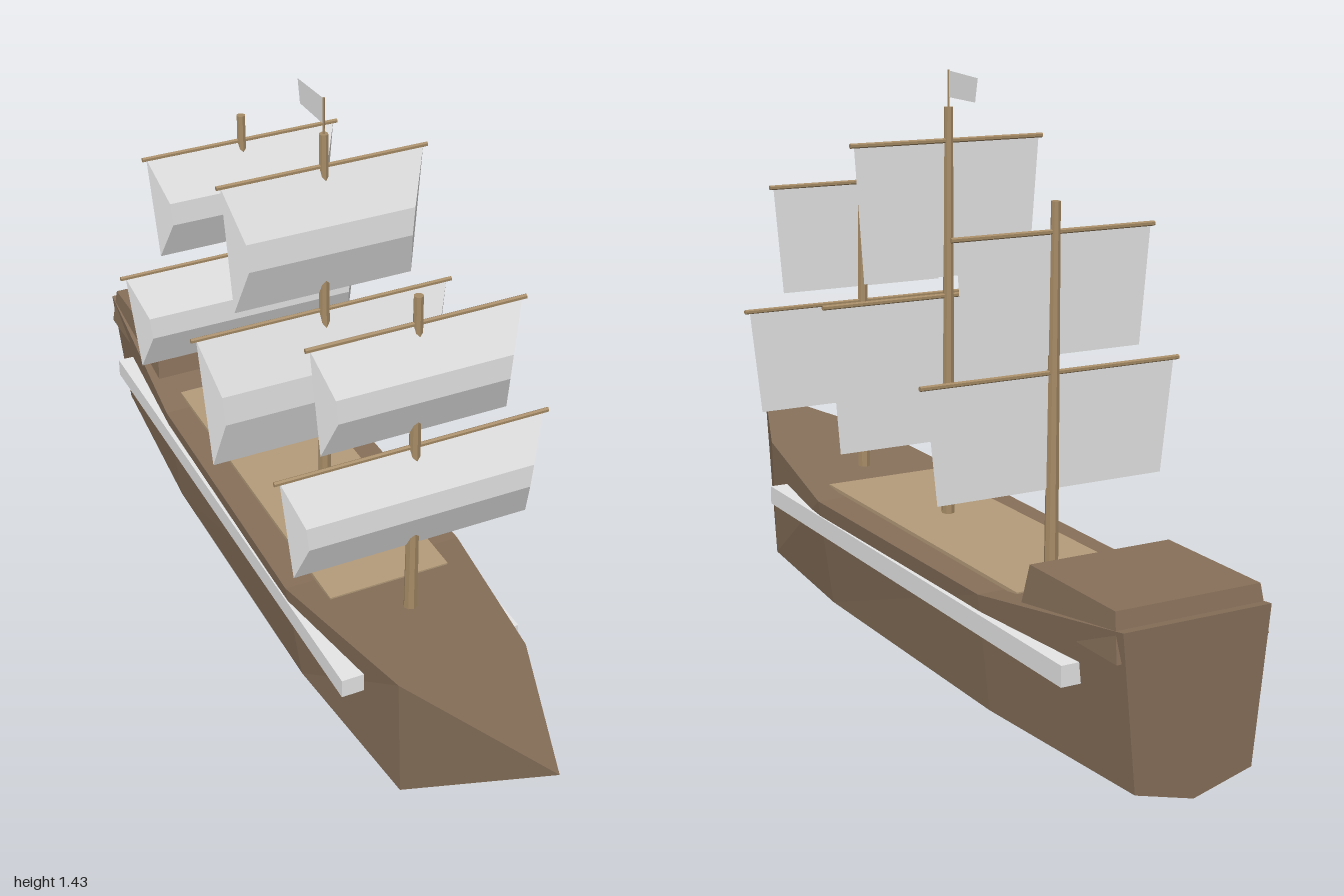
import * as THREE from 'three';

const mat = (name, color, extra = {}) => {
  const m = new THREE.MeshStandardMaterial({ color, flatShading: true, ...extra });
  m.name = name;
  return m;
};

// flat-shaded geometry from polygons, each fanned into triangles
function polys(list) {
  const pos = [];
  for (const p of list) {
    for (let i = 1; i < p.length - 1; i++) pos.push(...p[0], ...p[i], ...p[i + 1]);
  }
  const g = new THREE.BufferGeometry();
  g.setAttribute('position', new THREE.Float32BufferAttribute(pos, 3));
  g.computeVertexNormals();
  return g;
}

// hull lofted through stations: deck, chine, keel, chine, deck; closed to a bow point
function hullGeometry() {
  const stations = [ // along, deck half width, deck height, chine half width
    [-1.02, 0.184, 0.395, 0.147],
    [-0.5, 0.22, 0.32, 0.188],
    [0.31, 0.23, 0.32, 0.19],
    [0.763, 0.16, 0.36, 0.15],
  ];
  const rings = stations.map(([x, w, y, c]) =>
    [[x, y, w], [x, 0.04, c], [x, 0, 0], [x, 0.04, -c], [x, y, -w]]);
  const tip = [1.176, 0.395, 0];
  const faces = [[...rings[0]].reverse()];
  for (let i = 0; i < 5; i++) {
    const j = (i + 1) % 5;
    for (let s = 0; s < 3; s++) {
      const a = rings[s], b = rings[s + 1];
      faces.push([a[j], b[j], b[i], a[i]]);
    }
    faces.push([rings[3][j], tip, rings[3][i]]);
  }
  return polys(faces);
}

// sail: flat back, front bulging forward with inset ends
function sailGeometry(top, bottom, wTop, wBottom, depth) {
  const rows = [[0, 0, 0], [0.4, depth, 0.03], [0.62, depth, 0.03], [1, 0, 0]];
  const side = (s) => rows.map(([t, d, inset]) =>
    [d, THREE.MathUtils.lerp(top, bottom, t), s * (THREE.MathUtils.lerp(wTop, wBottom, t) - inset)]);
  const P = side(1), N = side(-1);
  const faces = [[P[0], N[0], N[3], P[3]], [P[0], P[3], P[2], P[1]], N];
  for (let r = 0; r < 3; r++) faces.push([P[r + 1], N[r + 1], N[r], P[r]]);
  return polys(faces);
}

export function createModel() {
  const hullWood = mat('hull wood', 0x87705a);
  const deckWood = mat('deck wood', 0xb59c7a);
  const sparWood = mat('spar wood', 0xa68b66);
  const canvas = mat('canvas white', 0xe6e6e6, { side: THREE.DoubleSide });

  const model = new THREE.Group();
  model.name = 'sailingShip';
  const ship = new THREE.Group();
  ship.name = 'ship';
  ship.rotation.y = -Math.PI / 6;
  ship.position.set(-0.021, 0, 0.036);
  model.add(ship);

  const add = (parent, name, geo, material, x = 0, y = 0, z = 0) => {
    const m = new THREE.Mesh(geo, material);
    m.name = name;
    m.position.set(x, y, z);
    parent.add(m);
    return m;
  };

  add(ship, 'hull', hullGeometry(), hullWood);
  add(ship, 'deckPlanking', new THREE.BoxGeometry(0.96, 0.009, 0.31), deckWood, -0.08, 0.3275, 0);

  // stern cabin, tapering upwards
  const cabin = new THREE.BoxGeometry(0.375, 0.105, 0.38);
  const cp = cabin.attributes.position;
  for (let i = 0; i < cp.count; i++) {
    if (cp.getY(i) > 0) cp.setXYZ(i, cp.getX(i) * 0.88, cp.getY(i), cp.getZ(i) * 0.95);
  }
  cabin.computeVertexNormals();
  add(ship, 'cabin', cabin, hullWood, -0.82, 0.377, 0);

  // side strakes
  for (const s of [1, -1]) {
    add(ship, s > 0 ? 'rightStrake' : 'leftStrake',
      new THREE.BoxGeometry(1.48, 0.048, 0.055), canvas, -0.122, 0.256, s * 0.2005);
  }

  // masts, each with two yards and two sails: [yard height, sail foot]
  const masts = [
    ['mizzen', -0.452, 1.175, [0.79, 0.52], [1.107, 0.83]],
    ['main', 0.036, 1.34, [0.883, 0.52], [1.26, 0.93]],
    ['fore', 0.508, 1.175, [0.79, 0.52], [1.107, 0.83]],
  ];
  for (const [name, x, height, lower, upper] of masts) {
    const rig = new THREE.Group();
    rig.name = name + 'Rig';
    rig.position.x = x;
    ship.add(rig);
    add(rig, name + 'Mast', new THREE.CylinderGeometry(0.011, 0.017, height - 0.3, 8),
      sparWood, 0, (height + 0.3) / 2, 0);
    const tiers = [
      ['Lower', lower, 0.338, 0.325, 0.295],
      ['Upper', upper, 0.262, 0.252, 0.228],
    ];
    for (const [tier, [y, foot], yardHalf, wTop, wBottom] of tiers) {
      const yard = add(rig, name + tier + 'Yard',
        new THREE.CylinderGeometry(0.006, 0.006, yardHalf * 2, 6), sparWood, 0, y, 0);
      yard.rotation.x = Math.PI / 2;
      add(rig, name + tier + 'Sail', sailGeometry(y, foot, wTop, wBottom, 0.045), canvas);
    }
  }

  // flag on a thin pole above the main mast
  add(ship, 'flagPole', new THREE.CylinderGeometry(0.003, 0.003, 0.1, 6), sparWood, 0.036, 1.378, 0);
  add(ship, 'flag', polys([[[0, 1.363, 0], [0, 1.426, 0], [-0.14, 1.417, 0], [-0.128, 1.36, 0]]]),
    canvas, 0.036, 0, 0);

  return model;
}
